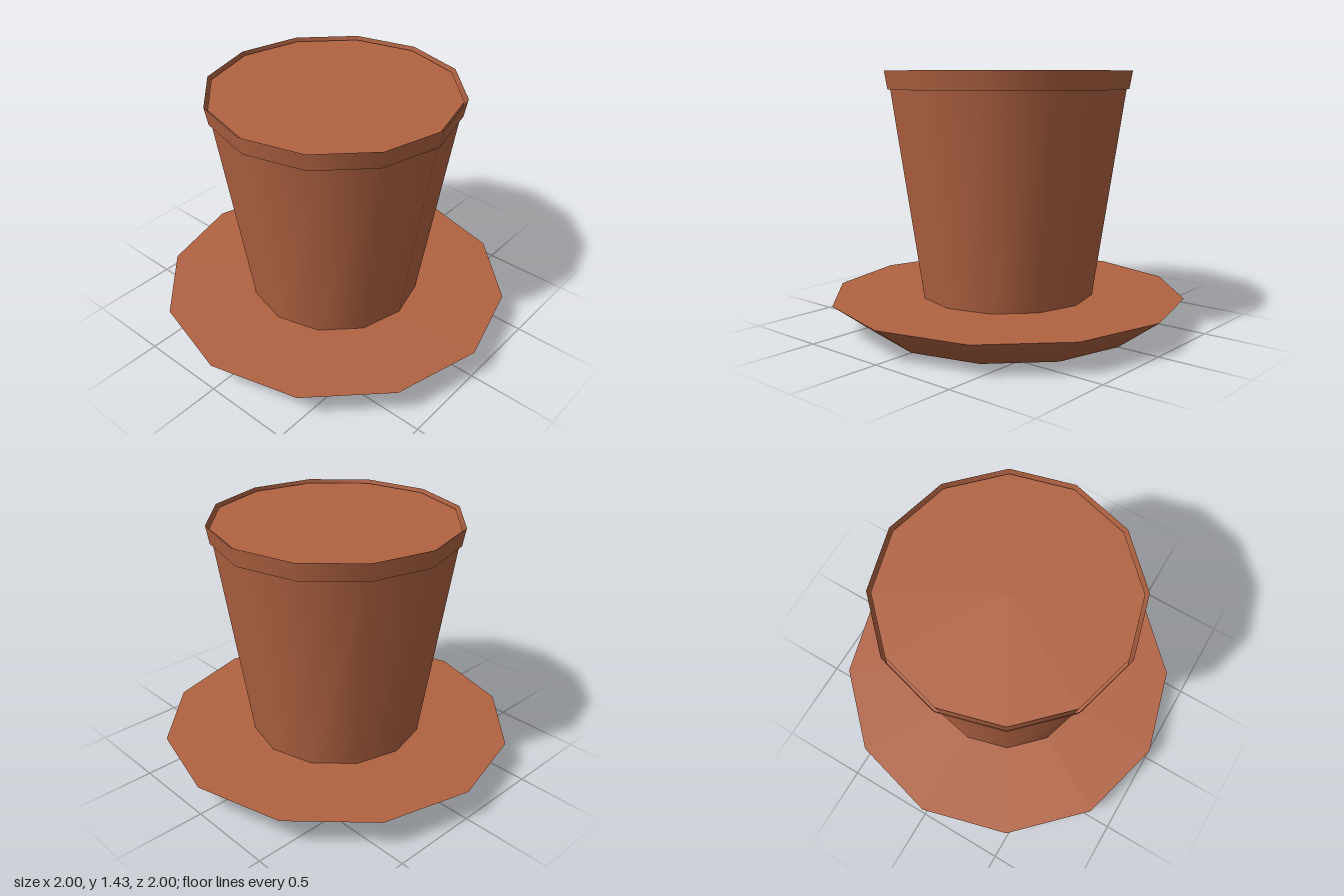
import * as THREE from 'three';

const SIDES = 12;

export function createModel() {
  const group = new THREE.Group();
  const terracotta = new THREE.MeshStandardMaterial({ color: 0xb26342 });
  terracotta.name = 'terracotta';
  const terracottaOpen = new THREE.MeshStandardMaterial({ color: 0xb26342, side: THREE.DoubleSide });
  terracottaOpen.name = 'terracotta open';

  const add = (name, geometry, y, material = terracotta) => {
    const mesh = new THREE.Mesh(geometry, material);
    mesh.name = name;
    mesh.position.y = y;
    group.add(mesh);
    return mesh;
  };

  // Saucer: underside and sloping wall share smooth normals
  const profile = [[0, 0], [0.76, 0], [1, 0.175]].map(p => new THREE.Vector2(...p));
  add('saucer', new THREE.LatheGeometry(profile, SIDES), 0);

  // Flat top of the saucer
  add('saucerTop', new THREE.CircleGeometry(1, SIDES), 0.175).rotation.x = -Math.PI / 2;

  // Tapered, closed pot body
  const bottom = 0.17, top = 1.415;
  add('potBody', new THREE.CylinderGeometry(0.673, 0.488, top - bottom, SIDES), (top + bottom) / 2);

  // Rim: a thin flared collar standing slightly away from the body, open at both ends
  add('potRim', new THREE.CylinderGeometry(0.693, 0.675, 0.1, SIDES, 1, true), 1.382, terracottaOpen);

  return group;
}
